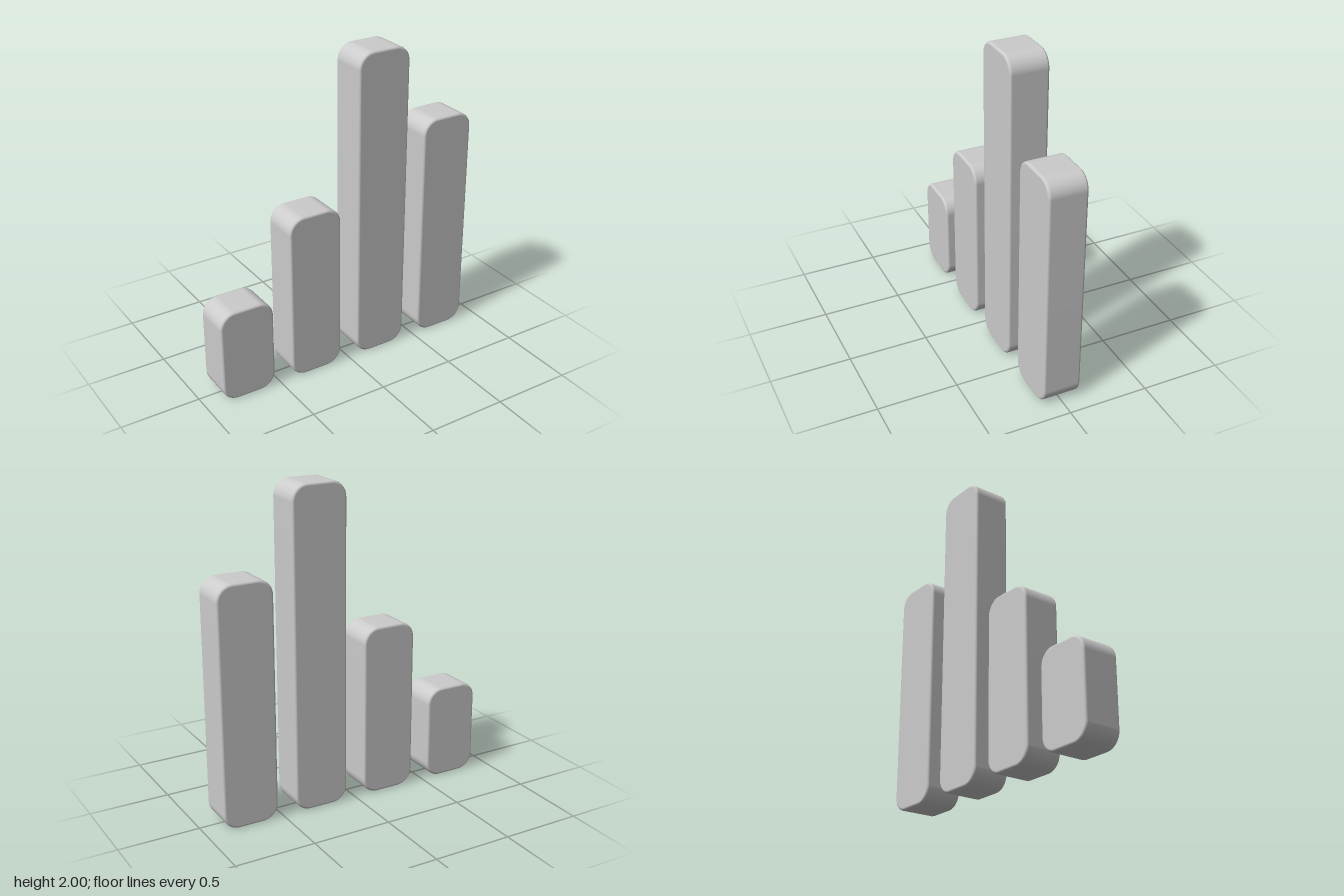
import * as THREE from 'three';

const WIDTH = 0.353, DEPTH = 0.24, RADIUS = 0.1, BEVEL = 0.016;

// Upright bar: rounded rectangle outline, extruded with a small rounded edge
function barGeometry(height) {
  const w = WIDTH / 2 - BEVEL, h = height / 2 - BEVEL, r = RADIUS - BEVEL;
  const shape = new THREE.Shape();
  shape.absarc(w - r, h - r, r, 0, Math.PI / 2);
  shape.absarc(r - w, h - r, r, Math.PI / 2, Math.PI);
  shape.absarc(r - w, r - h, r, Math.PI, Math.PI * 1.5);
  shape.absarc(w - r, r - h, r, Math.PI * 1.5, Math.PI * 2);

  const geometry = new THREE.ExtrudeGeometry(shape, {
    depth: DEPTH - 2 * BEVEL, curveSegments: 10,
    bevelEnabled: true, bevelSize: BEVEL, bevelThickness: BEVEL, bevelSegments: 4,
  });
  geometry.translate(0, 0, BEVEL - DEPTH / 2);

  // Smooth normals: outward from the corner centres, turning to z over the bevel
  const pos = geometry.attributes.position, normal = geometry.attributes.normal;
  const n = new THREE.Vector3();
  for (let i = 0; i < pos.count; i++) {
    const x = pos.getX(i), y = pos.getY(i), z = pos.getZ(i);
    const t = THREE.MathUtils.clamp((Math.abs(z) - DEPTH / 2 + BEVEL) / BEVEL, 0, 1);
    n.set(x - THREE.MathUtils.clamp(x, r - w, w - r), y - THREE.MathUtils.clamp(y, r - h, h - r), 0);
    n.normalize().multiplyScalar(Math.sqrt(1 - t * t));
    n.z = Math.sign(z) * t;
    normal.setXYZ(i, n.x, n.y, n.z);
  }
  return geometry;
}

export function createModel() {
  const model = new THREE.Group();
  model.name = 'barChart';
  const material = new THREE.MeshStandardMaterial({ color: 0xcccccc });

  // Four evenly spaced bars standing on the ground
  const bars = [['shortBar', 0.6], ['mediumBar', 1.085], ['tallestBar', 2], ['tallBar', 1.49]];
  bars.forEach(([name, height], i) => {
    const bar = new THREE.Mesh(barGeometry(height), material);
    bar.name = name;
    bar.position.set((i - 1.5) * 0.475, height / 2, 0);
    model.add(bar);
  });
  return model;
}
